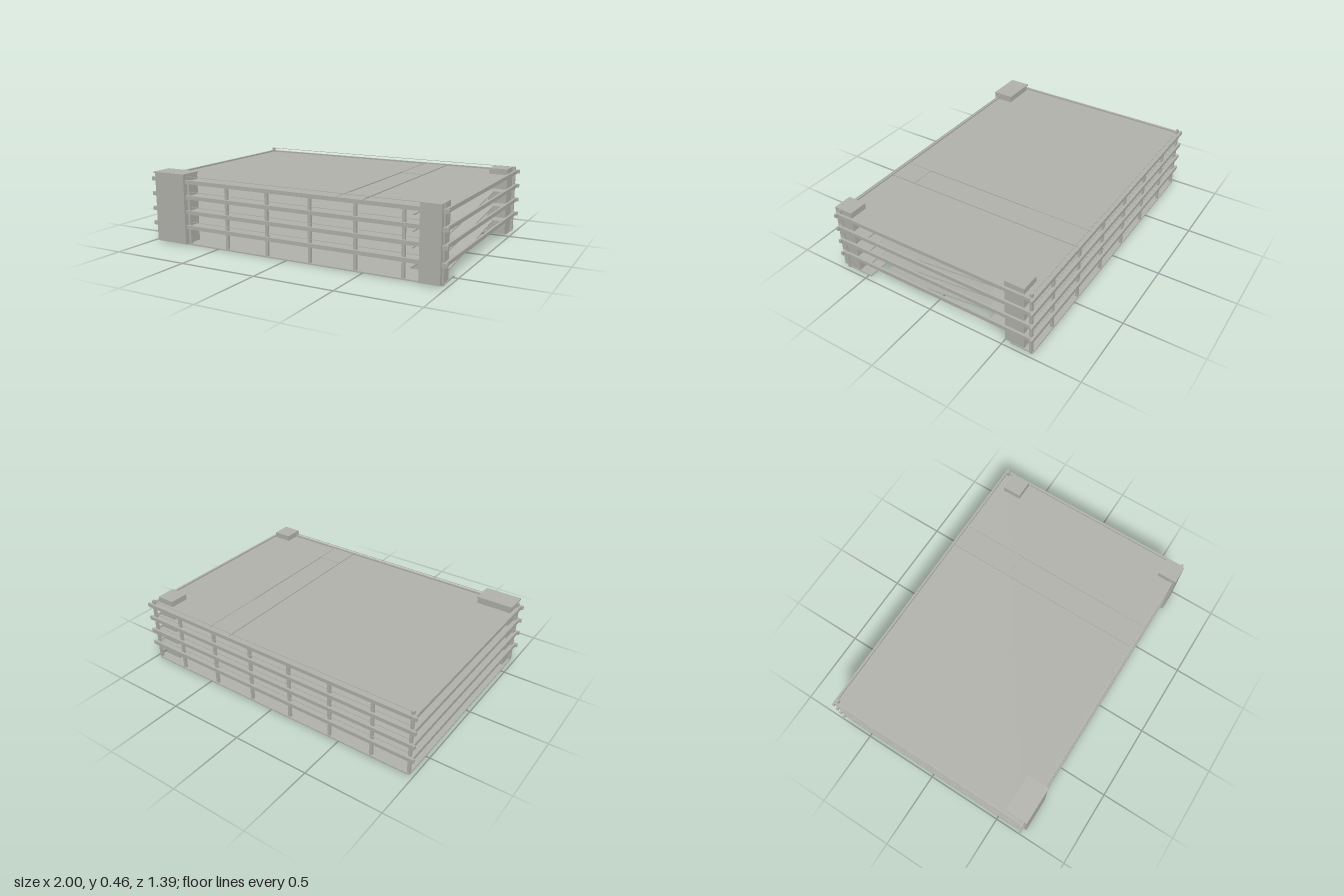
import * as THREE from 'three';

const concrete = new THREE.MeshStandardMaterial({ color: 0xb4b4ae });

// Box given by its limits on each axis
function slab(parent, name, [x0, x1], [y0, y1], [z0, z1]) {
  const mesh = new THREE.Mesh(new THREE.BoxGeometry(x1 - x0, y1 - y0, z1 - z0), concrete);
  mesh.name = name;
  mesh.position.set((x0 + x1) / 2, (y0 + y1) / 2, (z0 + z1) / 2);
  parent.add(mesh);
  return mesh;
}

// Floor plate with a notch on the left side where the ramps climb
function deck(parent, name, y, thickness, notchBack, notchFront) {
  const outline = [
    [-0.975, -0.685], [0.97, -0.685], [0.97, notchBack], [0.705, notchBack],
    [0.705, notchFront], [0.97, notchFront], [0.97, 0.668], [-0.975, 0.668],
  ];
  const shape = new THREE.Shape(outline.map(([x, z]) => new THREE.Vector2(x, -z)));
  const geometry = new THREE.ExtrudeGeometry(shape, { depth: thickness, bevelEnabled: false });
  geometry.rotateX(-Math.PI / 2);
  const mesh = new THREE.Mesh(geometry, concrete);
  mesh.name = name;
  mesh.position.y = y;
  parent.add(mesh);
}

// Sloping plate between two heights
function ramp(parent, yLow, yHigh, zLow, zHigh) {
  const t = 0.006;
  const shape = new THREE.Shape([
    new THREE.Vector2(-zLow, yLow), new THREE.Vector2(-zHigh, yHigh),
    new THREE.Vector2(-zHigh, yHigh - t), new THREE.Vector2(-zLow, yLow - t),
  ]);
  const geometry = new THREE.ExtrudeGeometry(shape, { depth: 0.16, bevelEnabled: false });
  geometry.rotateY(Math.PI / 2);
  const mesh = new THREE.Mesh(geometry, concrete);
  mesh.name = 'ramp';
  mesh.position.x = 0.75;
  parent.add(mesh);
}

export function createModel() {
  const model = new THREE.Group();
  model.name = 'parkingGarage';

  // Ground, upper floors and roof
  const floors = new THREE.Group();
  floors.name = 'floors';
  model.add(floors);
  deck(floors, 'groundFloor', 0, 0.008, -0.54, 0.48);
  for (const y of [0.112, 0.208, 0.304]) deck(floors, 'upperFloor', y, 0.008, -0.41, 0.46);
  slab(floors, 'roof', [-0.975, 0.975], [0.398, 0.408], [-0.685, 0.668]);

  // Raised lane edges and end plates on the roof
  for (const x of [0.316, 0.48]) slab(floors, 'roofKerb', [x, x + 0.007], [0.408, 0.414], [-0.683, 0.663]);
  for (const z of [[-0.683, -0.255], [0.49, 0.663]]) slab(floors, 'roofPlate', [0.323, 0.48], [0.408, 0.411], z);

  // Ramps
  const ramps = new THREE.Group();
  ramps.name = 'ramps';
  model.add(ramps);
  ramp(ramps, 0.008, 0.119, 0.425, -0.415);
  ramp(ramps, 0.118, 0.216, 0.462, -0.415);
  ramp(ramps, 0.214, 0.312, 0.462, -0.415);

  // Rails around each storey, crossing at the corners
  const rails = new THREE.Group();
  rails.name = 'rails';
  model.add(rails);
  const walls = [[0.665, 0.68], [-0.695, -0.68]];
  for (const y of [0.105, 0.201, 0.297, 0.394]) {
    const height = [y, y + 0.024];
    for (const z of walls) slab(rails, 'longRail', [-1, 1], height, z);
    for (const x of [[-0.988, -0.973], [0.973, 0.988]]) slab(rails, 'sideRail', x, height, [-0.695, 0.68]);
    // Thin safety wire above each long rail
    for (const z of [0.66, -0.676]) {
      slab(rails, 'wire', [-0.972, 0.972], [y + 0.042, y + 0.045], [z - 0.0015, z + 0.0015]);
    }
  }

  // Posts along the front and back
  const posts = new THREE.Group();
  posts.name = 'posts';
  model.add(posts);
  for (const z of [[0.648, 0.665], [-0.68, -0.663]]) {
    for (const x of [-0.72, -0.43, -0.138, 0.157, 0.45, 0.742]) {
      slab(posts, 'post', [x - 0.009, x + 0.009], [0, 0.398], z);
    }
    for (const x of [-0.966, 0.966]) slab(posts, 'cornerPost', [x - 0.009, x + 0.009], [0, 0.44], z);
  }

  // Stair towers
  const towers = new THREE.Group();
  towers.name = 'stairTowers';
  model.add(towers);
  slab(towers, 'wideTower', [-0.957, -0.73], [0.008, 0.446], [0.56, 0.695]);
  slab(towers, 'wideTowerCap', [-0.967, -0.727], [0.446, 0.456], [0.553, 0.697]);
  slab(towers, 'frontTower', [0.845, 0.967], [0.008, 0.446], [0.57, 0.695]);
  slab(towers, 'backTower', [0.845, 0.967], [0.008, 0.446], [-0.627, -0.503]);

  return model;
}
